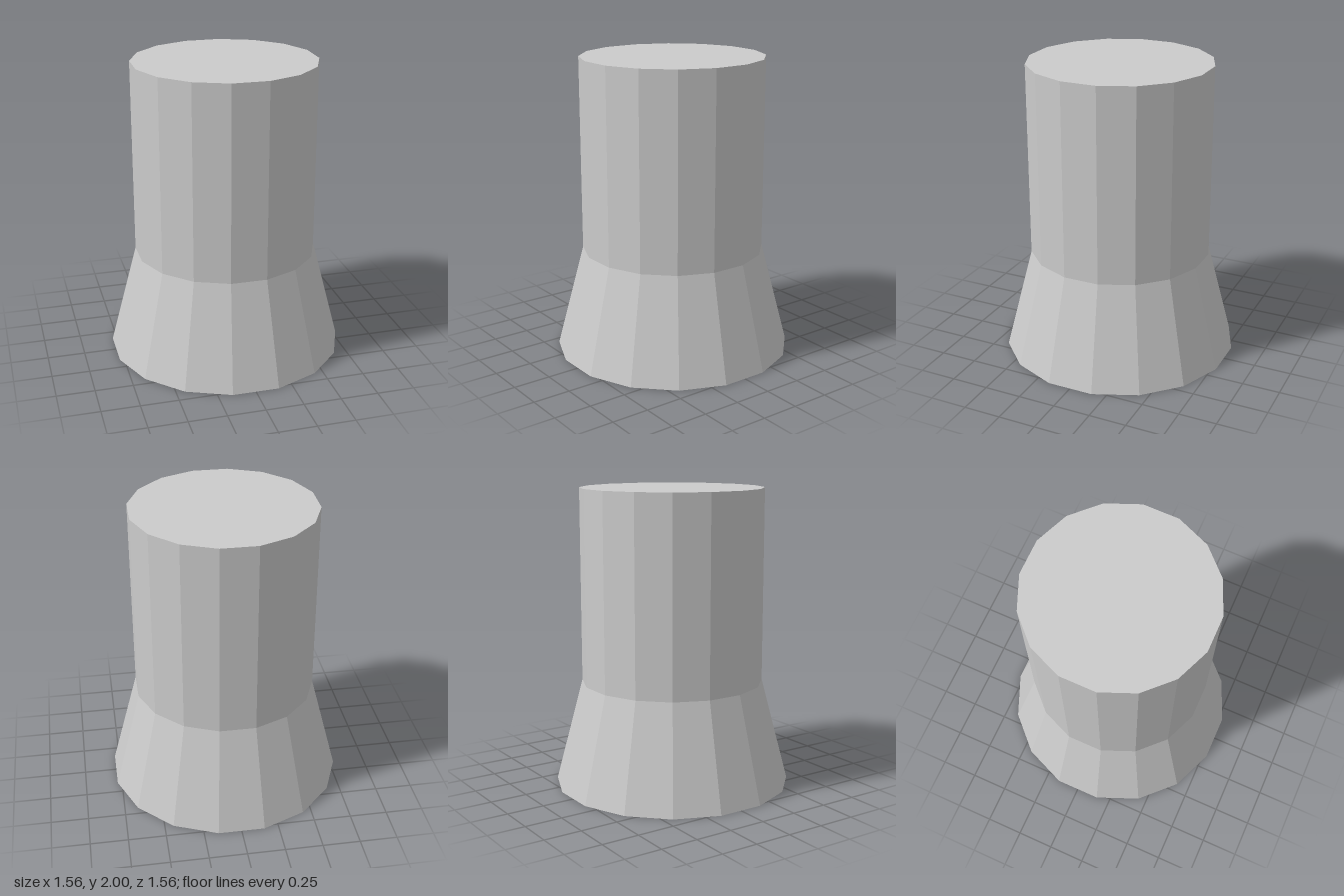
import * as THREE from 'three';

const SIDES = 16;
const HALF_STEP = Math.PI / SIDES; // turns a flat face towards each axis

export function createModel() {
  const group = new THREE.Group();
  const material = new THREE.MeshStandardMaterial({ color: 0xcccccc, flatShading: true });

  // Section of the prism; radii are measured to the middle of the flats
  const addSection = (name, topFlat, bottomFlat, y0, y1) => {
    const k = 1 / Math.cos(HALF_STEP);
    const geometry = new THREE.CylinderGeometry(
      topFlat * k, bottomFlat * k, y1 - y0, SIDES, 1, true, HALF_STEP);
    const mesh = new THREE.Mesh(geometry, material);
    mesh.name = name;
    mesh.position.y = (y0 + y1) / 2;
    group.add(mesh);
  };

  // Flat disc closing one end
  const addCap = (name, flat, y, tilt) => {
    const geometry = new THREE.CircleGeometry(flat / Math.cos(HALF_STEP), SIDES, HALF_STEP);
    const mesh = new THREE.Mesh(geometry, material);
    mesh.name = name;
    mesh.rotation.x = tilt;
    mesh.position.y = y;
    group.add(mesh);
  };

  addSection('flaredBase', 0.6, 0.78, 0, 0.7);
  addSection('straightColumn', 0.6, 0.6, 0.7, 2);
  addCap('topCap', 0.6, 2, -Math.PI / 2);
  addCap('bottomCap', 0.78, 0, Math.PI / 2);

  return group;
}
